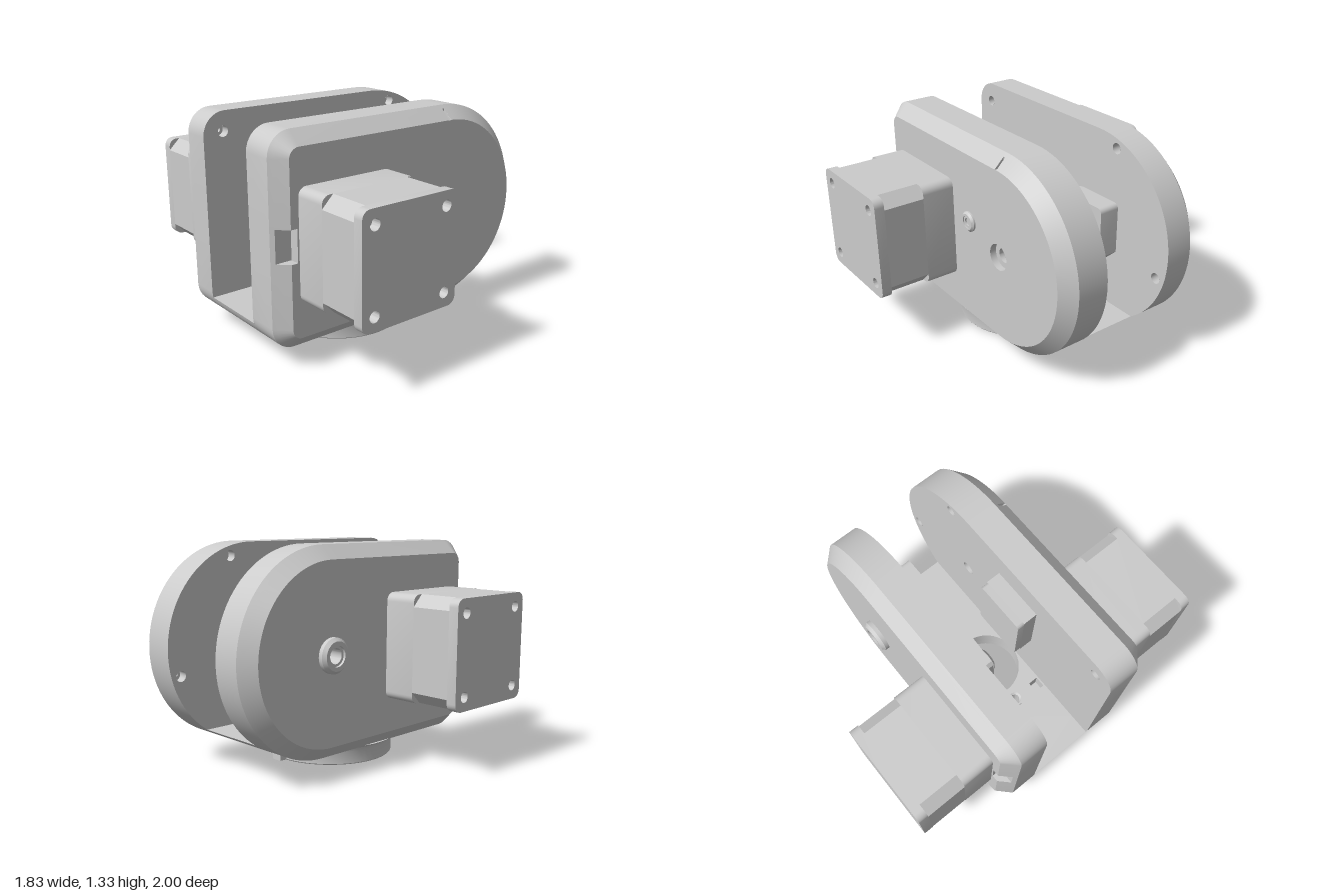
import * as THREE from 'three';
import { toCreasedNormals } from 'three/addons/utils/BufferGeometryUtils.js';

const mat = new THREE.MeshStandardMaterial({ color: 0xcccccc, side: THREE.DoubleSide });
const AXIS = [0.305, 0.72];
const V = (x, y) => new THREE.Vector2(x, y);

function add(parent, name, geo, x = 0, y = 0, z = 0) {
  const m = new THREE.Mesh(geo, mat);
  m.name = name;
  m.position.set(x, y, z);
  parent.add(m);
  return m;
}

function arc(cx, cy, r, a0, a1, n) {
  return Array.from({ length: n + 1 }, (_, i) => {
    const a = THREE.MathUtils.degToRad(a0 + (a1 - a0) * i / n);
    return V(cx + r * Math.cos(a), cy + r * Math.sin(a));
  });
}

const circle = (x, y, r) => new THREE.Path().absarc(x, y, r, 0, Math.PI * 2, true);
const rect = (x0, y0, x1, y1) => new THREE.Path([V(x0, y0), V(x0, y1), V(x1, y1), V(x1, y0)]);

function extrude(points, depth, holes = []) {
  const s = new THREE.Shape(points);
  s.holes = holes;
  const g = new THREE.ExtrudeGeometry(s, { depth, bevelEnabled: false, curveSegments: 24 });
  return toCreasedNormals(g, 0.5);
}

// Rounded rectangle corner points
function roundRect(x0, y0, x1, y1, r, n = 6) {
  return [...arc(x1 - r, y0 + r, r, -90, 0, n), ...arc(x1 - r, y1 - r, r, 0, 90, n),
    ...arc(x0 + r, y1 - r, r, 90, 180, n), ...arc(x0 + r, y0 + r, r, 180, 270, n)];
}

// Turned part whose axis points along z
function turned(profile, segments = 40) {
  const g = new THREE.LatheGeometry(profile.map(p => V(...p)), segments);
  return toCreasedNormals(g.rotateX(Math.PI / 2), 0.5);
}

// Housing side outline, inset by d, optionally cut by the edge notch and the slit
function outline(d, notch, slit) {
  const left = -0.915 + d, top = 1.33 - d, r = 0.14 - d;
  const nx = notch ? -0.795 : left, sy = slit ? 1.249 : top;
  return [...arc(...AXIS, 0.61 - d, -90, 90, 48),
    V(0.304, sy), V(0.29, sy), V(0.29, top),
    ...arc(-0.775, 1.19, r, 90, 180, 8),
    V(left, 0.82), V(nx, 0.82), V(nx, 0.63), V(left, 0.63),
    ...arc(-0.775, 0.255, r, 180, 270, 8)];
}

// Skin between successive outlines of equal length
function loft(layers) {
  const pos = [];
  for (let k = 0; k + 1 < layers.length; k++) {
    const [a, za] = layers[k], [b, zb] = layers[k + 1];
    for (let i = 0; i < a.length; i++) {
      const j = (i + 1) % a.length;
      pos.push(a[i].x, a[i].y, za, a[j].x, a[j].y, za, b[j].x, b[j].y, zb,
        a[i].x, a[i].y, za, b[j].x, b[j].y, zb, b[i].x, b[i].y, zb);
    }
  }
  const g = new THREE.BufferGeometry();
  g.setAttribute('position', new THREE.Float32BufferAttribute(pos, 3));
  return toCreasedNormals(g, 0.4);
}

// Mirror through z = 0, keeping faces outward
function mirrorZ(geo) {
  const g = geo.index ? geo.toNonIndexed() : geo;
  g.scale(1, 1, -1);
  const p = g.attributes.position;
  for (let i = 0; i < p.count; i += 3) {
    const b = [p.getX(i + 1), p.getY(i + 1), p.getZ(i + 1)];
    p.setXYZ(i + 1, p.getX(i + 2), p.getY(i + 2), p.getZ(i + 2));
    p.setXYZ(i + 2, ...b);
  }
  g.deleteAttribute('normal');
  return toCreasedNormals(g, 0.4);
}

// Flat face with holes, turned over when it looks toward the gap
function cap(points, z, holes, inward) {
  const s = new THREE.Shape(points);
  s.holes = holes;
  const g = new THREE.ShapeGeometry(s, 24);
  if (inward) {
    g.index.array.reverse();
    g.computeVertexNormals();
  }
  return g.translate(0, 0, z);
}

function housingSide(name, zi, front) {
  const group = new THREE.Group();
  group.name = name;
  const put = (n, g) => add(group, n, front ? g : mirrorZ(g));
  put('shell', loft([[outline(0), zi], [outline(0), 0.41], [outline(0.02), 0.43],
    [outline(0.02, true, front), 0.43], [outline(0.08, true, front), 0.49]]));
  put('outerFace', cap(outline(0.08, true, front), 0.49, [circle(...AXIS, front ? 0.08 : 0.045)]));
  const screws = [[-0.79, 1.21], [0.46, 1.25], [0.83, 0.57]];
  put('innerFace', cap(outline(0), zi,
    [circle(...AXIS, 0.045), ...screws.map(([x, y]) => circle(x, y, 0.033))], true));
  for (const [x, y] of screws)
    put('screwSocket', turned([[0.033, 0], [0.033, 0.06], [0.015, 0.06], [0.015, 0.09], [0, 0.09]], 20)
      .translate(x, y, zi));
  // Shaft bore: a stepped recess in front, a raised collar behind
  const bore = front ? [[0.08, 0.49], [0.08, 0.45], [0.045, 0.45], [0.045, zi]]
    : [[0.103, 0.49], [0.103, 0.515], [0.085, 0.535], [0.06, 0.535], [0.06, 0.52], [0.045, 0.52], [0.045, zi]];
  put('shaftBore', turned(bore).translate(...AXIS, 0));
  return group;
}

function motor(side) {
  const g = new THREE.Group();
  g.name = side > 0 ? 'frontMotor' : 'backMotor';
  const h = 0.3175, k = h - 0.07;
  const square = roundRect(-h, -0.32, h, 0.32, 0.05);
  const chamfered = [V(k, -0.32), V(h, -0.25), V(h, 0.25), V(k, 0.32),
    V(-k, 0.32), V(-h, 0.25), V(-h, -0.25), V(-k, -0.32)];
  const holes = [];
  for (const x of [-0.237, 0.237]) for (const y of [-0.237, 0.237]) holes.push(circle(x, y, 0.032));
  add(g, 'motorFlange', extrude(square, 0.2), 0, 0, 0.49);
  add(g, 'motorCore', extrude(chamfered, 0.25), 0, 0, 0.69);
  add(g, 'motorEndCap', extrude(square, 0.06, holes), 0, 0, 0.94);
  g.position.set(-0.467, 0.72, 0);
  if (side < 0) g.rotation.y = Math.PI;
  return g;
}

// Carriage block: a plate with a pocket opening toward the plate and the shaft side
function carriage(side) {
  const g = new THREE.Group();
  g.name = side > 0 ? 'frontCarriage' : 'backCarriage';
  add(g, 'carriageFace', extrude(roundRect(-0.165, -0.222, 0.165, 0.222, 0.025), 0.045), 0, 0, 0.08);
  const c = [V(-0.165, -0.222), V(0.165, -0.222), V(0.165, -0.085), V(0.04, -0.085),
    V(0.04, 0.18), V(0.165, 0.18), V(0.165, 0.222), V(-0.165, 0.222)];
  add(g, 'carriageBody', extrude(c, 0.115), 0, 0, 0.125);
  add(g, 'carriageFoot', new THREE.BoxGeometry(0.2, 0.02, 0.08), 0, -0.23, 0.18);
  g.position.set(-0.145, side > 0 ? 0.922 : 0.52, 0);
  if (side < 0) g.rotation.x = Math.PI;
  return g;
}

export function createModel() {
  const model = new THREE.Group();
  model.name = 'dualMotorJoint';
  model.add(housingSide('frontHousing', 0.215, true), housingSide('backHousing', 0.235, false));
  model.add(motor(1), motor(-1), carriage(1), carriage(-1));

  // Floor joining the two sides, with its rounded ends
  const floorHoles = [circle(-0.155, 0, 0.215), circle(-0.45, 0, 0.028), circle(0.135, 0, 0.028),
    rect(-0.5, 0.14, -0.43, 0.225), rect(-0.5, -0.205, -0.43, -0.14)];
  add(model, 'floor', extrude([V(-0.775, -0.215), V(0.305, -0.215), V(0.305, 0.235), V(-0.775, 0.235)],
    0.105, floorHoles).rotateX(-Math.PI / 2), 0, 0.115, 0);
  const end = Math.asin(-0.5 / 0.61) * 180 / Math.PI;
  add(model, 'floorRoundEnd', extrude([...arc(...AXIS, 0.61, -90, end, 12), V(0.305, 0.22)], 0.45), 0, 0, -0.235);
  add(model, 'floorSquareEnd', extrude([...arc(-0.775, 0.255, 0.14, 194.5, 270, 8), V(-0.775, 0.22)], 0.45), 0, 0, -0.235);
  for (const x of [-0.45, 0.135])
    add(model, 'floorScrewCollar', turned([[0.052, 0], [0.052, -0.012], [0.04, -0.012], [0.028, 0]], 24)
      .rotateX(Math.PI / 2), x, 0.22, 0);

  // Round mounting base with a recessed underside
  const ring = [[0.345, 0.116], [0.345, 0.02], [0.365, 0.02], [0.365, 0], [0.395, 0], [0.4, 0.006],
    [0.4, 0.08], [0.407, 0.1], [0.43, 0.116], [0.345, 0.116]].map(p => V(...p));
  add(model, 'baseRing', toCreasedNormals(new THREE.LatheGeometry(ring, 64), 0.5), -0.155, 0, 0);
  add(model, 'basePlate', extrude(arc(-0.155, 0, 0.347, 0, 354, 59), 0.06,
    floorHoles.slice(0, 3)).rotateX(-Math.PI / 2), 0, 0.055, 0);
  add(model, 'baseKey', new THREE.BoxGeometry(0.07, 0.11, 0.07), 0.26, 0.06, 0);
  add(model, 'baseStop', new THREE.BoxGeometry(0.15, 0.03, 0.035), 0.19, 0.103, -0.3).rotation.y = Math.PI / 4;

  // Swinging arm on the back side with its pivot cap
  const arm = [V(-0.29, 0.61), V(0.16, 0.53), V(0.22, 0.51), V(0.4, 0.51), V(0.51, 0.61),
    ...arc(0.48, 0.895, 0.03, 0, 90, 5), V(0.2, 0.925), V(-0.29, 0.83), V(-0.31, 0.8), V(-0.31, 0.64)];
  add(model, 'arm', extrude(arm, 0.13, [circle(...AXIS, 0.045)]), 0, 0, -0.22);
  add(model, 'armSpacer', turned([[0.09, -0.24], [0.09, -0.215]]), ...AXIS, 0);
  add(model, 'armPivotCap', turned([[0.075, -0.09], [0.075, -0.075], [0.055, -0.06], [0.03, -0.06],
    [0.03, -0.075], [0, -0.075]]), -0.235, 0.715, 0);

  // Small adjuster bushing on the front face
  add(model, 'adjusterBushing', turned([[0.062, 0.485], [0.062, 0.5], [0.05, 0.512], [0.038, 0.512],
    [0.038, 0.505], [0.025, 0.505], [0.025, 0.495], [0, 0.495]], 32), 0.02, 0.835, 0);
  return model;
}
